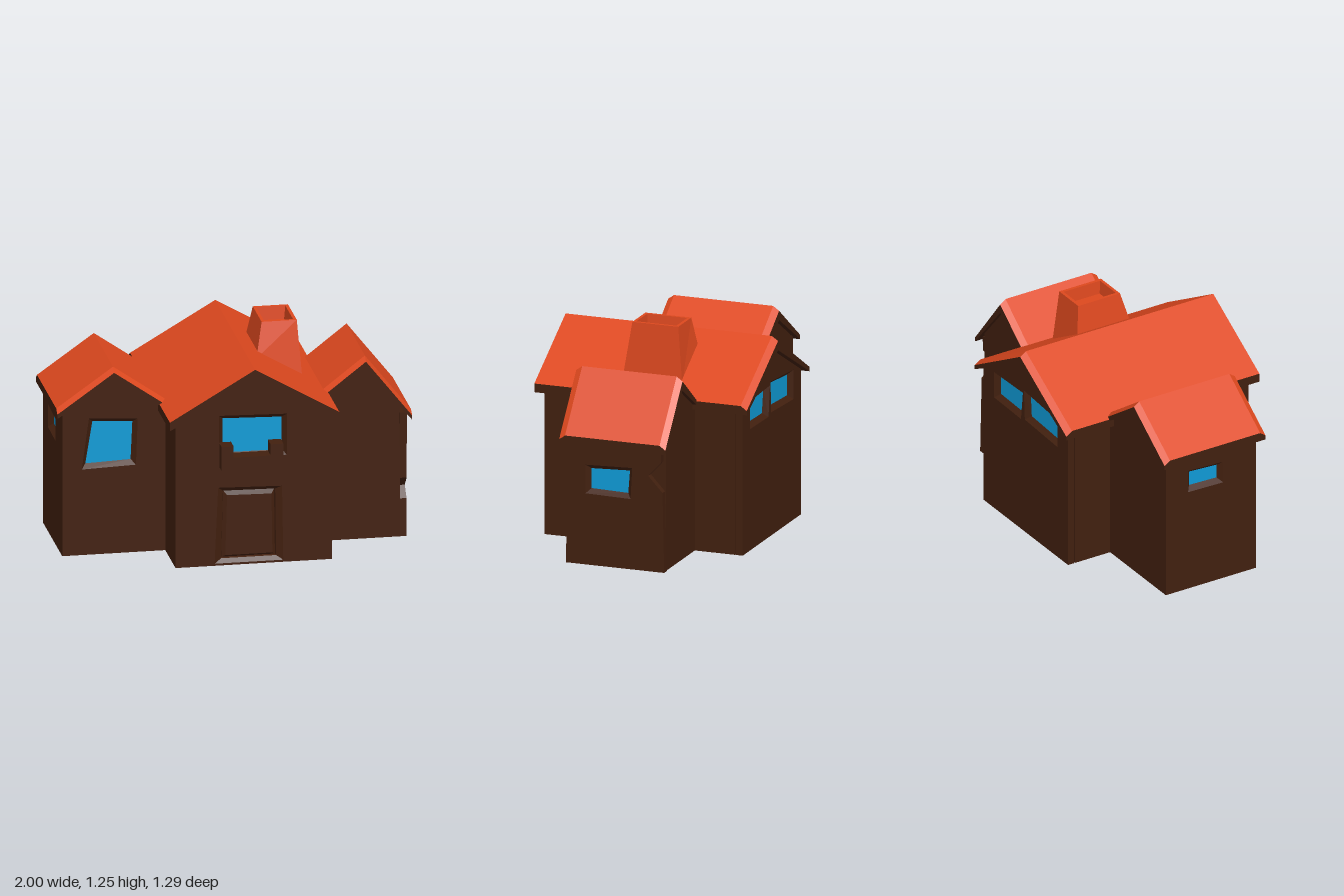
import * as THREE from 'three';

const mat = (color) => new THREE.MeshStandardMaterial({ color, flatShading: true });
const ORANGE = mat(0xdd481e), BROWN = mat(0x42200f), BLUE = mat(0x0f9bd7);

function mesh(name, geometry, material, parent) {
  const m = new THREE.Mesh(geometry, material);
  m.name = name;
  parent.add(m);
  return m;
}

// Joins equal-length loops of [x, y, z] with quads and caps the last one
function loft(loops, cap = true) {
  const pos = [];
  const quad = (a, b, c, d) => pos.push(...a, ...b, ...c, ...a, ...c, ...d);
  for (let k = 0; k + 1 < loops.length; k++) {
    const A = loops[k], B = loops[k + 1];
    A.forEach((p, i) => {
      const j = (i + 1) % A.length;
      quad(p, A[j], B[j], B[i]);
    });
  }
  if (cap) quad(...loops[loops.length - 1]);
  const g = new THREE.BufferGeometry();
  g.setAttribute('position', new THREE.Float32BufferAttribute(pos, 3));
  g.computeVertexNormals();
  return g;
}

// Quad corners run bottom-left, bottom-right, top-right, top-left
const SIGNS = [[-1, -1], [1, -1], [1, 1], [-1, 1]];
const grow = (q, d) => q.map(([x, y], i) => [x + SIGNS[i][0] * d, y + SIGNS[i][1] * d]);
const atZ = (q, z) => q.map(([x, y]) => [x, y, z]);
const toShape = (pts) => new THREE.Shape(pts.map((p) => new THREE.Vector2(...p)));

// Flat wall from z0 to z1 with holes cut through it
function wall(name, outline, z0, z1, holes, parent) {
  const shape = toShape(outline);
  holes.forEach((h) => shape.holes.push(toShape(h)));
  const g = new THREE.ExtrudeGeometry(shape, { depth: z1 - z0, bevelEnabled: false });
  return mesh(name, g.translate(0, 0, z0), BROWN, parent);
}

// Wall panel with sloping window frames and recessed panes
const SKIN = 0.04;
function windowWall(name, outline, z, panes, parent, extraHoles = []) {
  const g = new THREE.Group();
  g.name = name;
  parent.add(g);
  const outer = panes.map((p) => grow(p, 0.025));
  wall(name + 'Panel', outline, z - SKIN, z, [...outer, ...extraHoles], g);
  panes.forEach((p, i) => {
    mesh('windowFrame', loft([atZ(outer[i], z), atZ(p, z - 0.03)], false), BROWN, g);
    mesh('windowPane', loft([atZ(p, z - 0.03)]), BLUE, g);
  });
  return g;
}

// Underside line of a roof at x
function underside([l, r, e], x) {
  const [a, b] = x < r[0] ? [l, r] : [r, e];
  return a[1] + (b[1] - a[1]) * (x - a[0]) / (b[0] - a[0]) - 0.045;
}
const gable = (roof, x0, x1) => [
  [x0, 0], [x1, 0], [x1, underside(roof, x1)],
  [roof[1][0], underside(roof, roof[1][0])], [x0, underside(roof, x0)],
];

// Pitched roof: orange top, brown edges and underside; sections are [z, drop]
function roofGeometry(profile, sections) {
  const loops = sections.map(([z, drop]) => [
    ...profile.map(([x, y]) => [x, y - drop, z]),
    ...profile.map(([x, y], i) => [x, y - (i === 1 ? 0.078 : 0.05), z]).reverse(),
  ]);
  const top = [], rest = [];
  const quad = (out, a, b, c, d) => out.push(...a, ...b, ...c, ...a, ...c, ...d);
  for (let k = 0; k + 1 < loops.length; k++) {
    const A = loops[k], B = loops[k + 1];
    for (let i = 0; i < 6; i++) {
      const j = (i + 1) % 6;
      quad(i < 2 ? top : rest, A[i], B[i], B[j], A[j]);
    }
  }
  const F = loops[loops.length - 1], K = loops[0];
  quad(rest, F[0], F[5], F[4], F[1]);
  quad(rest, F[1], F[4], F[3], F[2]);
  quad(rest, K[1], K[4], K[5], K[0]);
  quad(rest, K[2], K[3], K[4], K[1]);
  const g = new THREE.BufferGeometry();
  g.setAttribute('position', new THREE.Float32BufferAttribute([...top, ...rest], 3));
  g.addGroup(0, top.length / 3, 0);
  g.addGroup(top.length / 3, rest.length / 3, 1);
  g.computeVertexNormals();
  return g;
}

export function createModel() {
  const house = new THREE.Group();
  house.name = 'house';

  // Roof profiles: eave, ridge, eave
  const mainRoof = [[-0.425, 0.868], [0.055, 1.148], [0.53, 0.872]];
  const rightRoof = [[-1, 0.868], [-0.68, 1.093], [-0.39, 0.89]];
  const leftRoof = [[0.5, 0.882], [0.74, 1.068], [1, 0.738]];
  const bevelled = (z0, z1) => [[z0, 0.025], [z0 + 0.035, 0], [z1 - 0.035, 0], [z1, 0.025]];
  const roofs = [
    ['mainRoof', mainRoof, [[-0.642, 0.025], [-0.605, 0], [0.622, 0]]],
    ['rightWingRoof', rightRoof, bevelled(-0.36, 0.3)],
    ['leftWingRoof', leftRoof, bevelled(-0.342, 0.29)],
  ];
  roofs.forEach(([name, p, s]) => mesh(name, roofGeometry(p, s), [ORANGE, BROWN], house));

  // Main block with front door and window, and two windows at the back
  const mainOutline = gable(mainRoof, -0.385, 0.497);
  const doorOuter = [[-0.165, 0.012], [0.222, 0.012], [0.215, 0.445], [-0.145, 0.455]];
  const doorFrame = [[-0.125, 0.035], [0.185, 0.035], [0.18, 0.425], [-0.115, 0.43]];
  const doorPanel = [[-0.1, 0.05], [0.165, 0.05], [0.16, 0.395], [-0.09, 0.4]];
  wall('mainBlock', mainOutline, -0.56, 0.535, [], house);
  windowWall('mainFront', mainOutline, 0.575,
    [[[-0.113, 0.65], [0.218, 0.65], [0.218, 0.84], [-0.115, 0.85]]], house, [doorOuter]);
  mesh('frontDoor', loft([
    atZ(doorOuter, 0.575), atZ(doorFrame, 0.555), atZ(grow(doorFrame, -0.004), 0.54), atZ(doorPanel, 0.55),
  ]), BROWN, house);
  const back = windowWall('mainBack', mainOutline.map(([x, y]) => [-x, y]).reverse(), 0.605, [
    [[-0.36, 0.725], [-0.13, 0.72], [-0.11, 0.845], [-0.36, 0.835]],
    [[-0.04, 0.735], [0.25, 0.72], [0.25, 0.84], [-0.05, 0.865]],
  ], house);
  back.rotation.y = Math.PI;

  // Window box below the front window
  const planter = new THREE.Group();
  planter.name = 'windowBox';
  house.add(planter);
  [[-0.138, 0.21, 0.575, 0.65], [-0.138, -0.07, 0.64, 0.715], [0.138, 0.21, 0.64, 0.715]].forEach(([x0, x1, y0, y1], i) => {
    const g = new THREE.BoxGeometry(x1 - x0, y1 - y0, 0.085);
    mesh(i ? 'windowBoxPost' : 'windowBoxBase', g, BROWN, planter)
      .position.set((x0 + x1) / 2, (y0 + y1) / 2, 0.6025);
  });

  // Right wing with a front window and a small end window
  const rightOutline = gable(rightRoof, -0.925, -0.375);
  wall('rightWing', rightOutline, -0.33, 0.22, [], house);
  windowWall('rightWingFront', rightOutline, 0.26,
    [[[-0.83, 0.525], [-0.575, 0.535], [-0.565, 0.755], [-0.79, 0.77]]], house);
  windowWall('rightWingEnd', [[-0.33, 0], [0.26, 0], [0.26, 0.85], [-0.33, 0.85]], 0.965,
    [[[-0.16, 0.635], [0.02, 0.63], [0.02, 0.71], [-0.16, 0.72]]], house).rotation.y = -Math.PI / 2;

  // Left wing, its end wall chipped at both corners
  wall('leftWing', gable(leftRoof, 0.48, 0.937), -0.32, 0.26, [], house);
  windowWall('leftWingEnd', [
    [-0.26, 0], [0.325, 0], [0.315, 0.46], [0.23, 0.55], [0.305, 0.63], [0.31, 0.725],
    [-0.265, 0.725], [-0.255, 0.34], [-0.2, 0.28], [-0.255, 0.22],
  ], 0.975, [[[-0.118, 0.435], [0.1, 0.43], [0.11, 0.56], [-0.118, 0.55]]], house).rotation.y = Math.PI / 2;

  // Tapered hollow chimney
  const ring = (x0, x1, z0, z1, yl, yr = yl) => [[x0, yl, z1], [x1, yr, z1], [x1, yr, z0], [x0, yl, z0]];
  mesh('chimney', loft([
    ring(0.15, 0.408, -0.21, 0.145, 1.05, 0.92),
    ring(0.188, 0.386, -0.178, 0.095, 1.245),
    ring(0.205, 0.368, -0.16, 0.078, 1.245),
    ring(0.212, 0.36, -0.152, 0.07, 1.17),
  ]), ORANGE, house);

  return house;
}
